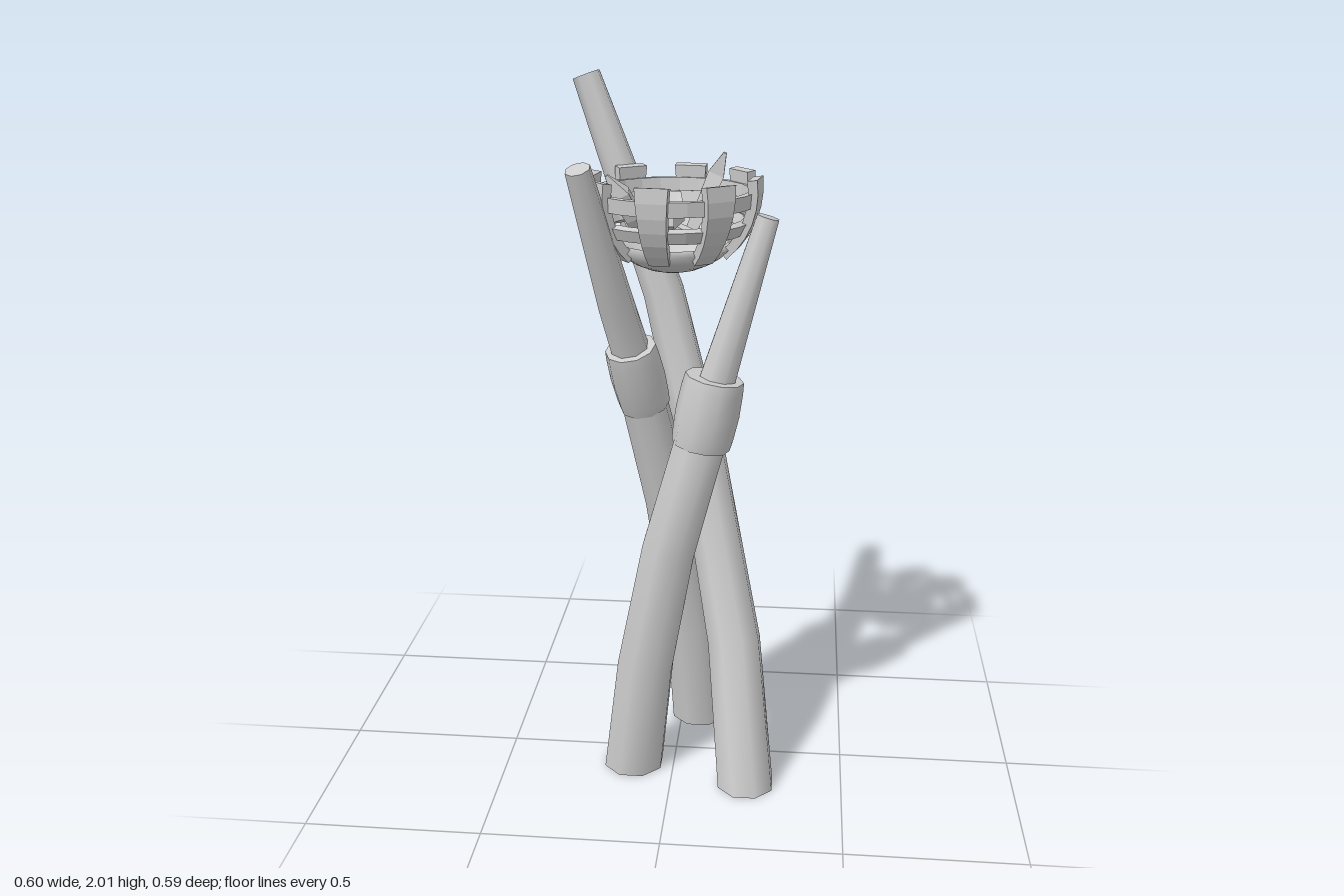
import * as THREE from 'three';

const V = (a) => new THREE.Vector3(...a);

// Closed tube through [x, y, z, radius] stations, with flat end caps
function loft(stations, sides, { levelBase = false, flat = false, turn = 0 } = {}) {
  const pts = stations.map((s) => V(s));
  const n = pts.length, pos = [], idx = [];
  const rings = pts.map((p, i) => {
    const dir = pts[Math.min(i + 1, n - 1)].clone().sub(pts[Math.max(i - 1, 0)]).normalize();
    if (levelBase && i === 0) dir.set(0, 1, 0);
    const ref = Math.abs(dir.y) > 0.7 ? V([0, 0, 1]) : V([0, 1, 0]);
    const u = ref.cross(dir).normalize(), w = dir.clone().cross(u);
    return Array.from({ length: sides }, (_, k) => {
      const a = turn + (k / sides) * Math.PI * 2, r = stations[i][3];
      return p.clone().addScaledVector(u, Math.cos(a) * r).addScaledVector(w, Math.sin(a) * r);
    });
  });
  rings.forEach((ring) => ring.forEach((v) => pos.push(v.x, v.y, v.z)));
  for (let i = 0; i < n - 1; i++) {
    for (let k = 0; k < sides; k++) {
      const a = i * sides + k, b = i * sides + (k + 1) % sides;
      idx.push(a, b, b + sides, a, b + sides, a + sides);
    }
  }
  // caps use their own vertices so that the rims stay sharp
  [[rings[0], true], [rings[n - 1], false]].forEach(([ring, start]) => {
    const base = pos.length / 3;
    ring.forEach((v) => pos.push(v.x, v.y, v.z));
    for (let k = 1; k < sides - 1; k++) {
      idx.push(base, base + (start ? k + 1 : k), base + (start ? k : k + 1));
    }
  });
  let g = new THREE.BufferGeometry();
  g.setAttribute('position', new THREE.Float32BufferAttribute(pos, 3));
  g.setIndex(idx);
  if (flat) g = g.toNonIndexed();
  g.computeVertexNormals();
  return g;
}

export function createModel() {
  const root = new THREE.Group();
  const grey = new THREE.MeshStandardMaterial({ color: 0xcccccc });
  const flatGrey = new THREE.MeshStandardMaterial({ color: 0xcccccc, flatShading: true });
  const add = (parent, name, geometry, material = grey) => {
    const mesh = new THREE.Mesh(geometry, material);
    mesh.name = name;
    parent.add(mesh);
    return mesh;
  };

  // Three crossing, slightly bent poles
  const poles = {
    tallPole: [[0.22, 0, 0.18, 0.085], [0.175, 0.4, 0.05, 0.08], [0.065, 0.93, -0.1, 0.07],
      [-0.05, 1.4, -0.14, 0.06], [-0.267, 1.995, -0.18, 0.04]],
    backPole: [[0.055, 0, -0.215, 0.087], [0.03, 0.35, -0.165, 0.08], [-0.03, 0.8, -0.075, 0.072],
      [-0.1, 1.18, 0.035, 0.065], [-0.107, 1.22, 0.045, 0.055], [-0.15, 1.42, 0.125, 0.05], [-0.223, 1.8, 0.27, 0.034]],
    frontPole: [[-0.12, 0, 0.09, 0.09], [-0.08, 0.35, 0.107, 0.085], [-0.01, 0.72, 0.12, 0.08],
      [0.09, 1.09, 0.12, 0.075], [0.1, 1.14, 0.12, 0.056], [0.25, 1.66, 0.105, 0.032]],
  };
  for (const [name, stations] of Object.entries(poles)) {
    add(root, name, loft(stations, 8, { levelBase: true, turn: Math.PI / 8 }));
  }

  // Bulging sleeves around the two jointed poles
  const sleeve = (name, a, b, r) => {
    const stations = [0, 0.15, 0.5, 0.85, 1].map((t) =>
      [...V(a).lerp(V(b), t).toArray(), r * (0.92 + 0.32 * t * (1 - t))]);
    add(root, name, loft(stations, 10));
  };
  sleeve('backSleeve', [-0.088, 1.11, 0.012], [-0.12, 1.29, 0.075], 0.077);
  sleeve('frontSleeve', [0.078, 1.03, 0.12], [0.115, 1.225, 0.12], 0.088);

  // Openwork bowl
  const bowl = new THREE.Group();
  bowl.name = 'bowl';
  bowl.position.set(-0.005, 1.725, 0.055);
  root.add(bowl);
  const R = 0.225, T = 0.02;
  const arc = (r, from, to, steps) => Array.from({ length: steps + 1 }, (_, i) => {
    const a = THREE.MathUtils.degToRad(from + (to - from) * i / steps);
    return new THREE.Vector2(Math.max(0, r * Math.cos(a)), r * Math.sin(a));
  });
  const band = (name, from, to, steps) => {
    const outer = arc(R, from, to, steps), inner = arc(R - T, to, from, steps);
    const profile = [...outer, ...inner];
    if (from > -90) profile.push(outer[0].clone());
    add(bowl, name, new THREE.LatheGeometry(profile, 24), from > -90 ? flatGrey : grey);
  };
  band('bowlBase', -90, -44, 5);
  band('lowerHoop', -31, -22, 1);
  band('upperHoop', -11, -1, 1);

  // Eight tapering staves bent over the bowl
  const stave = new THREE.BoxGeometry(1, 1, 0.026, 1, 6, 1);
  const p = stave.attributes.position;
  for (let i = 0; i < p.count; i++) {
    const t = p.getY(i) + 0.5, a = THREE.MathUtils.degToRad(-50 + 58 * t), r = R - 0.002 + p.getZ(i);
    p.setXYZ(i, p.getX(i) * (0.055 + 0.033 * t), r * Math.sin(a), r * Math.cos(a));
  }
  stave.computeVertexNormals();
  for (let k = 0; k < 8; k++) {
    add(bowl, 'stave', stave, flatGrey).rotation.y = THREE.MathUtils.degToRad(-8 + 45 * k);
  }

  // Bent sticks of kindling lying in the bowl
  const sticks = [
    [[-0.015, 1.68, -0.05, 0.03], [0.005, 1.65, 0.03, 0.026], [-0.02, 1.64, 0.12, 0.028], [-0.008, 1.67, 0.21, 0.03]],
    [[-0.105, 1.65, -0.05, 0.027], [-0.03, 1.62, 0.015, 0.022], [0.04, 1.6, 0.07, 0.022], [0.1, 1.61, 0.125, 0.022]],
    [[0.03, 1.58, -0.02, 0.022], [0.075, 1.68, -0.06, 0.028], [0.1, 1.74, -0.09, 0.032], [0.125, 1.8, -0.075, 0.006]],
    [[-0.085, 1.6, 0.1, 0.015], [-0.1, 1.66, 0.13, 0.03], [-0.13, 1.72, 0.155, 0.032], [-0.165, 1.77, 0.17, 0.006]],
  ];
  sticks.forEach((s) => add(root, 'stick', loft(s, 4, { flat: true, turn: Math.PI / 4 }), flatGrey));

  return root;
}
